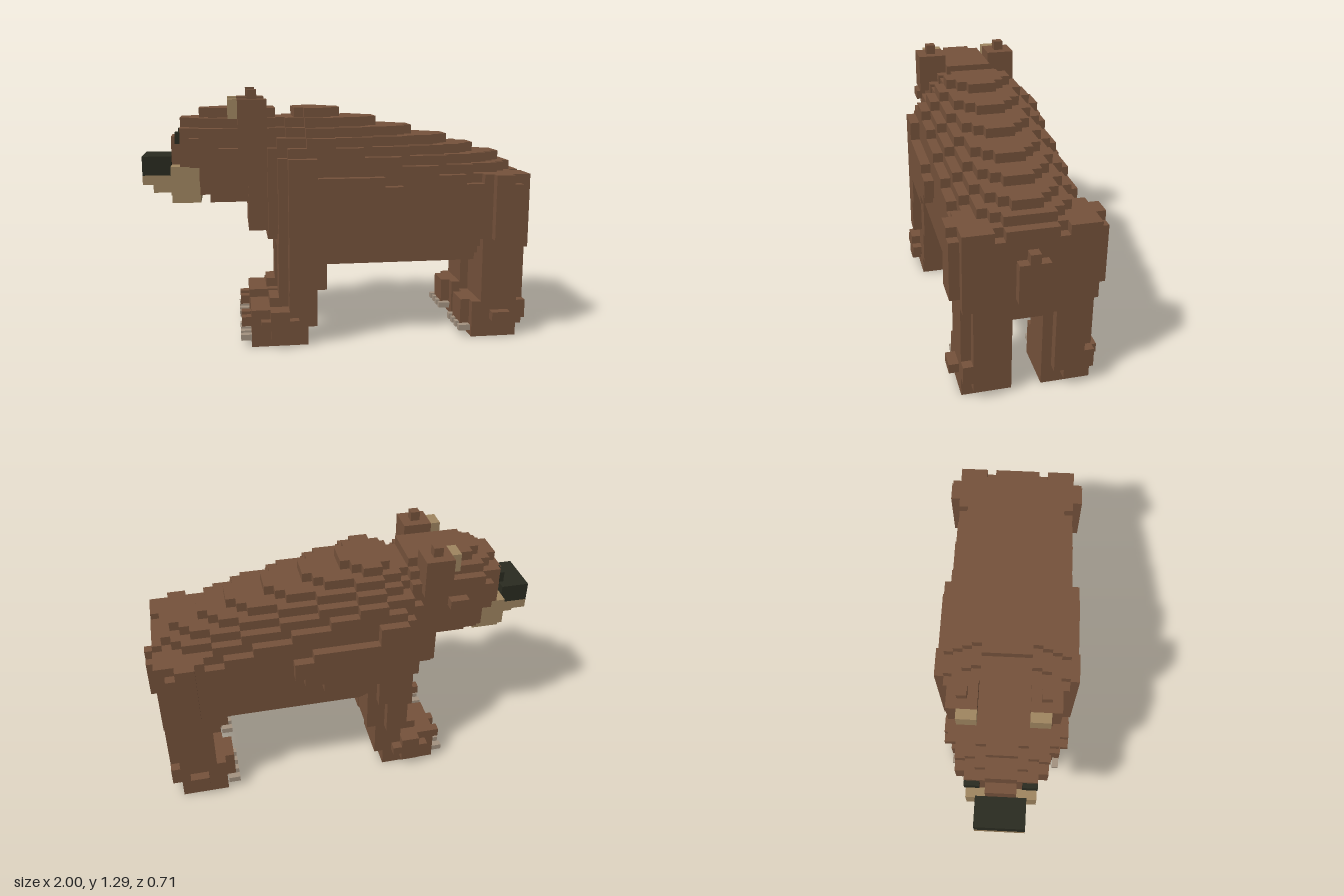
import * as THREE from 'three';

const U = 2 / 42; // edge of one block

const paint = (name, color) => {
  const m = new THREE.MeshStandardMaterial({ color });
  m.name = name;
  return m;
};

// Piecewise linear height of the back along the body, in blocks
const SPINE = [[11, 23.6], [15, 23.8], [16, 24.5], [17.5, 25.2], [19.5, 25.1], [21, 24.5], [25, 23.5],
  [29, 22.5], [33, 21.5], [36, 20.5], [39, 19.5], [40, 18.5], [41, 17.6]];
function spine(x) {
  for (let n = 1; n < SPINE.length; n++) {
    const [x0, y0] = SPINE[n - 1], [x1, y1] = SPINE[n];
    if (x <= x1) return y0 + (y1 - y0) * (x - x0) / (x1 - x0);
  }
  return 17.6;
}

// Collects blocks, then builds only the exposed faces of each part
class Blocks {
  constructor() { this.cells = new Map(); }
  set(part, i, j, k) { this.cells.set(`${i},${j},${k}`, part); }
  has(c) { return this.cells.has(c.join()); }
  // Inclusive ranges; k is the distance from the middle and is mirrored
  fill(part, [i0, i1], [j0, j1], [k0, k1], keep = () => true) {
    for (let i = i0; i <= i1; i++)
      for (let j = j0; j <= j1; j++)
        for (let k = k0; k <= k1; k++)
          if (keep(i, j, k)) for (const s of [1, -1]) this.set(part, i, j, k * s);
  }
  geometry(part) {
    const pos = [], nor = [], idx = [];
    for (const [key, p] of this.cells) {
      if (p !== part) continue;
      const c = key.split(',').map(Number);
      for (let a = 0; a < 3; a++) for (const s of [1, -1]) {
        const next = [...c];
        next[a] += s;
        if (this.has(next)) continue;
        const b = pos.length / 3;
        for (const [u, v] of [[0, 0], [1, 0], [1, 1], [0, 1]]) {
          const q = [...c];
          q[a] += s > 0 ? 1 : 0;
          q[(a + 1) % 3] += u;
          q[(a + 2) % 3] += v;
          pos.push((q[0] - 21) * U, q[1] * U, (q[2] - 0.5) * U);
          nor.push(...[0, 1, 2].map((n) => (n === a ? s : 0)));
        }
        idx.push(...(s > 0 ? [0, 1, 2, 0, 2, 3] : [0, 2, 1, 0, 3, 2]).map((n) => b + n));
      }
    }
    const g = new THREE.BufferGeometry();
    g.setAttribute('position', new THREE.Float32BufferAttribute(pos, 3));
    g.setAttribute('normal', new THREE.Float32BufferAttribute(nor, 3));
    g.setIndex(idx);
    return g;
  }
}

export function createModel() {
  const group = new THREE.Group();
  const fur = paint('brown fur', 0x75523b);
  const tan = paint('tan fur', 0x9f8560);
  const dark = paint('dark nose and eyes', 0x2a2b20);
  const claw = paint('claw', 0xa39280);
  const b = new Blocks();

  // Body: domed back, rounded belly, narrowing to the neck
  const belly = [8, 8, 8, 8, 9, 10, 11];
  b.fill('body', [11, 40], [8, 25], [0, 6], (i, j, k) => {
    if (k > (i < 13 ? 4 : i < 14 ? 5 : 6)) return false;
    const front = i < 13 ? 12 : i < 14 ? 11 : i < 18 ? 10 : 8;
    const low = i === 40 ? 9 : front + (i < 14 && k > 3 ? 1 : 0);
    return j >= Math.max(low, belly[k]) && j + 0.5 < spine(i + 0.5) - 0.04 * k ** 2.5;
  });
  // Raised flank
  b.fill('body', [16, 26], [13, 17], [7, 7],
    (i, j) => ((i - 20) / 6.5) ** 2 + ((j - 15.2) / 2.7) ** 2 < 1);
  b.fill('tail', [41, 41], [11, 14], [0, 1]);
  b.fill('tail', [41, 41], [15, 15], [0, 0]);

  // Front legs with shoulders and paws
  b.fill('frontLegs', [15, 17], [6, 19], [7, 7], (i, j) => i < 17 || j > 9);
  b.fill('frontLegs', [14, 17], [4, 12], [2, 6], (i, j, k) => i > 14 || (k > 2 && k < 6));
  b.fill('frontLegs', [18, 18], [6, 12], [3, 6]);
  b.fill('frontLegs', [17, 17], [2, 3], [2, 6]);
  b.fill('frontLegs', [11, 16], [0, 3], [2, 6]);
  b.fill('frontLegs', [13, 13], [4, 4], [3, 5]);
  b.fill('frontLegs', [12, 15], [1, 3], [7, 7],
    (i, j) => j === 2 || i === 13 || i === 14);
  b.fill('frontLegs', [10, 10], [2, 2], [3, 5], (i, j, k) => k !== 4);

  // Hind legs with thighs, rump, heels and paws
  b.fill('hindLegs', [36, 39], [0, 12], [2, 6]);
  b.fill('hindLegs', [36, 40], [13, 17], [4, 6]);
  b.fill('hindLegs', [40, 40], [1, 9], [3, 6],
    (i, j, k) => (j === 1 ? k === 4 || k === 5 : j < 4 || k < 6));
  b.fill('hindLegs', [40, 40], [10, 13], [2, 6]);
  b.fill('hindLegs', [37, 39], [11, 17], [7, 7], (i, j) => i < 39 || j < 17);
  b.fill('hindLegs', [35, 35], [0, 3], [2, 6]);
  b.fill('hindLegs', [34, 34], [1, 3], [3, 5]);
  b.fill('hindLegs', [37, 38], [2, 2], [7, 7]);

  // Head: domed crown, rounded jaw and cheek tufts
  b.fill('head', [4, 13], [15, 24], [0, 4], (i, j, k) => {
    if (k > (i < 5 ? 3 : 4)) return false;
    const low = i < 6 ? 19 : Math.max(i < 7 ? 16 : 15, k > 3 ? 17 : k > 2 ? 16 : 15);
    const crown = 25 - 0.08 * Math.max(0, 8 - i) ** 2 - 0.06 * k ** 2.5;
    return j >= low && j + 0.5 < crown;
  });
  b.fill('head', [3, 3], [19, 21], [0, 1]);
  b.fill('head', [8, 9], [20, 20], [5, 5]);

  // Ears
  b.fill('ears', [10, 12], [22, 25], [3, 5]);
  b.fill('ears', [11, 11], [26, 26], [4, 4]);
  b.fill('innerEars', [9, 9], [24, 25], [3, 4]);

  // Muzzle and nose
  b.fill('muzzle', [3, 5], [16, 18], [0, 3]);
  b.fill('muzzle', [3, 5], [15, 15], [0, 2]);
  b.fill('muzzle', [1, 2], [16, 16], [0, 1]);
  b.fill('muzzle', [0, 2], [17, 17], [0, 2]);
  b.fill('nose', [0, 2], [18, 19], [0, 2]);

  const parts = { body: fur, tail: fur, frontLegs: fur, hindLegs: fur, head: fur, ears: fur,
    innerEars: tan, muzzle: tan, nose: dark };
  for (const [name, material] of Object.entries(parts)) {
    const mesh = new THREE.Mesh(b.geometry(name), material);
    mesh.name = name;
    group.add(mesh);
  }

  // Eyes and claws, mirrored across the middle
  const box = (name, size, at, material) => {
    const mesh = new THREE.Mesh(new THREE.BoxGeometry(...size), material);
    mesh.name = name;
    mesh.position.set(...at);
    group.add(mesh);
  };
  for (const s of [1, -1]) {
    box('eye', [0.024, 0.055, 0.07], [-0.82, 1.047, s * 0.132], dark);
    for (const x of [-0.5, 0.63])
      for (const z of [0.1, 0.163, 0.227, 0.29])
        box('claw', [0.06, 0.03, 0.034], [x, 0.05, s * z], claw);
  }
  return group;
}
